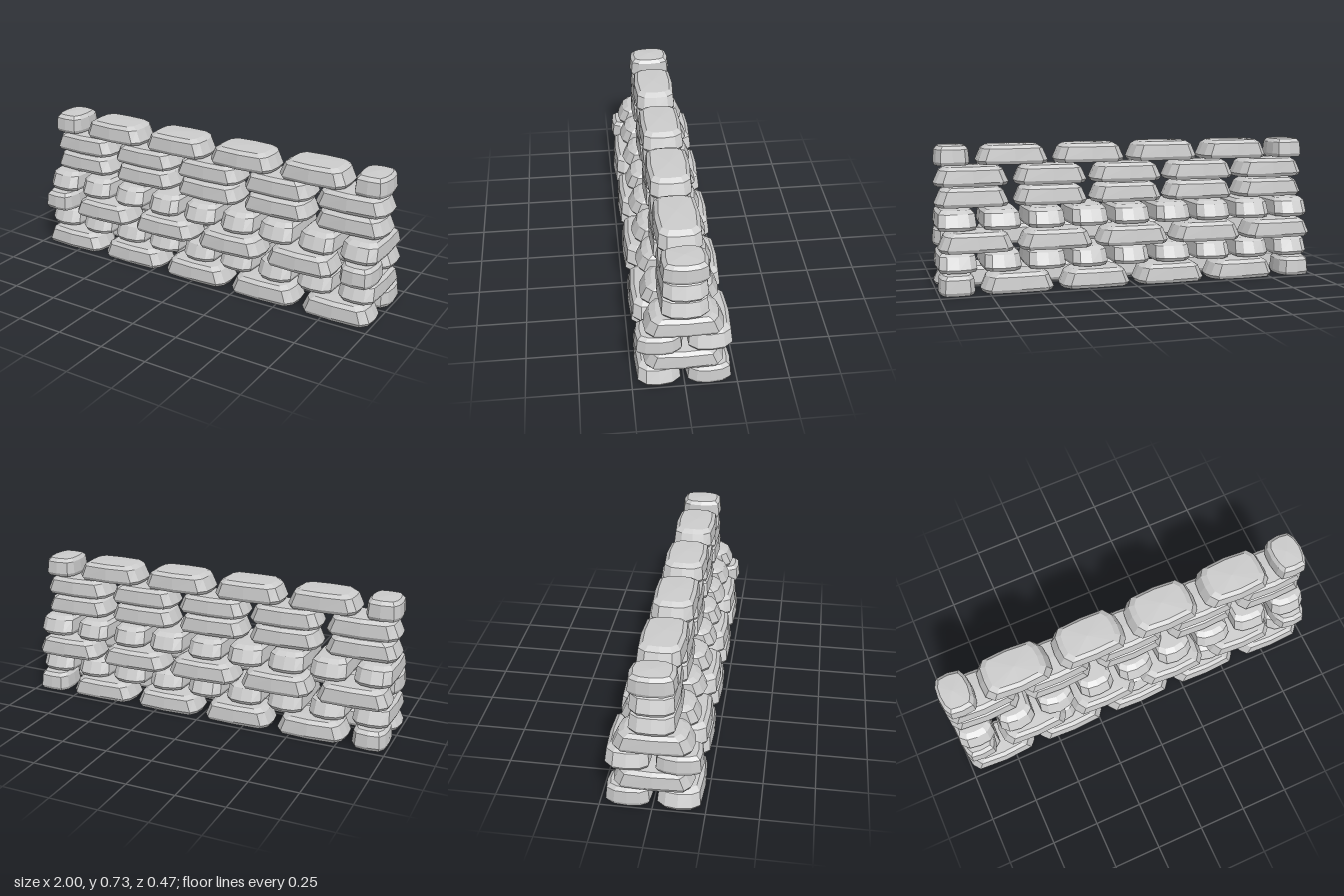
import * as THREE from 'three';

const material = new THREE.MeshStandardMaterial({ color: 0xcccccc, flatShading: true });

let seed = 7;
const jitter = (amount) => {
  seed = (seed * 16807) % 2147483647;
  return (seed / 2147483647 - 0.5) * 2 * amount;
};

// Levels of a stone: height fraction, scale along its length, scale across its width
const LONG = [[0, 0.95, 0.92], [0.17, 1, 1], [0.78, 0.85, 0.94], [0.95, 0.7, 0.77]];
const SHORT = [[0, 0.93, 0.92], [0.17, 1, 1], [0.78, 0.94, 0.94], [0.95, 0.77, 0.77]];

// Chamfered, slightly bulging slab with a shallow domed top; a and b are half sizes in x and z
function stoneGeometry(a, b, h) {
  const q = [[a - 0.008, b * 0.58], [a - Math.min(0.04, a * 0.32), b * 0.93]];
  const outline = [
    [a, 0], [q[0][0], -q[0][1]], [q[1][0], -q[1][1]],
    [0, -b], [-q[1][0], -q[1][1]], [-q[0][0], -q[0][1]],
    [-a, 0], [-q[0][0], q[0][1]], [-q[1][0], q[1][1]],
    [0, b], [q[1][0], q[1][1]], [q[0][0], q[0][1]],
  ].map(([x, z]) => [x + jitter(0.003), z + jitter(0.002)]);
  const n = outline.length;
  const levels = a > 1.4 * b ? LONG : SHORT;
  const pos = [], index = [];
  for (const [t, sx, sz] of levels)
    for (const [x, z] of outline) pos.push(x * sx, t * h, z * sz);
  const top = pos.length / 3;
  pos.push(jitter(0.01), h, jitter(0.006), 0, 0, 0);
  const last = (levels.length - 1) * n;
  for (let k = 0; k < n; k++) {
    const m = (k + 1) % n;
    for (let r = 0; r < last; r += n)
      index.push(r + k, r + m, r + n + m, r + k, r + n + m, r + n + k);
    index.push(last + k, last + m, top, m, k, top + 1);
  }
  const g = new THREE.BufferGeometry();
  g.setAttribute('position', new THREE.Float32BufferAttribute(pos, 3));
  g.setIndex(index);
  g.computeVertexNormals();
  return g;
}

export function createModel() {
  const wall = new THREE.Group();
  wall.name = 'stoneWall';
  const pitch = 0.105, height = 0.102;

  function addStone(course, name, x, z, a, b, turned = false) {
    const mesh = new THREE.Mesh(stoneGeometry(a, b, height + jitter(0.0015)), material);
    mesh.name = name;
    mesh.position.set(x, 0, z);
    if (turned) mesh.rotation.y = Math.PI / 2;
    course.add(mesh);
  }

  // Five long stones in a row
  const fullRow = (course, z, b) => {
    for (let i = -2; i <= 2; i++) addStone(course, 'longStone', i * 0.404, z, 0.189, b);
  };

  // Four long stones closed by a half stone at each end
  const offsetRow = (course, z, b) => {
    for (let i = -1.5; i <= 1.5; i++) addStone(course, 'longStone', i * 0.4, z, 0.185, b);
    for (const s of [-1, 1]) addStone(course, 'endStone', s * 0.906, z, 0.091, b);
  };

  // Nine stones laid across the thickness of the wall
  const headerRow = (course) => {
    for (let i = -4; i <= 4; i++) addStone(course, 'crossStone', i * 0.2245, 0, 0.19, 0.1, true);
  };

  // Courses from the ground up: doubled rows, cross stones, then a single thickness
  const courses = [
    (c) => { fullRow(c, 0.12, 0.11); offsetRow(c, -0.12, 0.11); },
    headerRow,
    (c) => { offsetRow(c, 0.12, 0.113); fullRow(c, -0.12, 0.11); },
    headerRow,
    (c) => fullRow(c, 0, 0.115),
    (c) => fullRow(c, 0, 0.113),
    (c) => offsetRow(c, 0, 0.112),
  ];
  courses.forEach((build, i) => {
    const course = new THREE.Group();
    course.name = 'course' + (i + 1);
    course.position.y = i * pitch;
    build(course);
    wall.add(course);
  });
  return wall;
}
